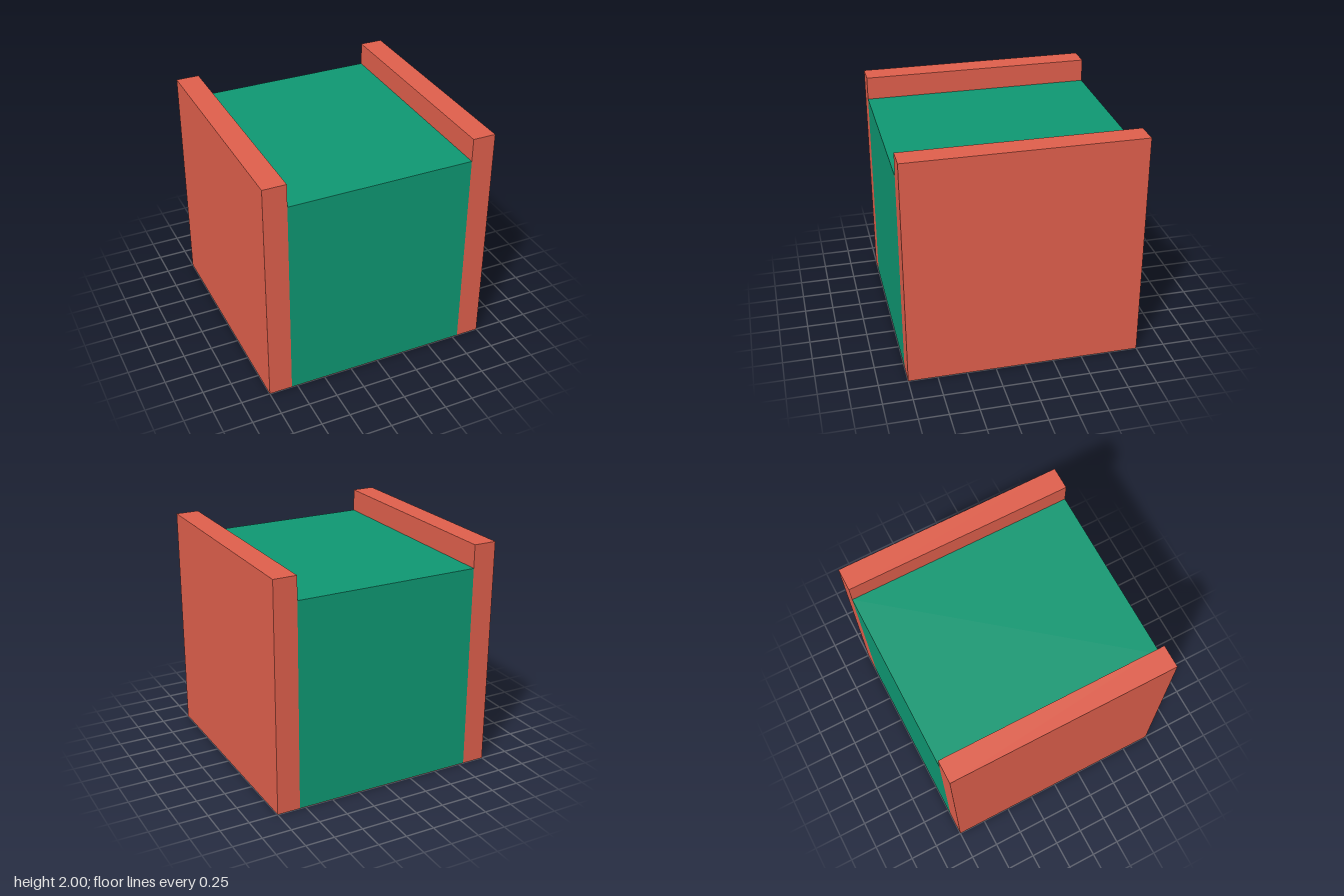
import * as THREE from 'three';

export function createModel() {
  const group = new THREE.Group();
  const red = new THREE.MeshStandardMaterial({ color: 0xdd5e4b });
  const green = new THREE.MeshStandardMaterial({ color: 0x0e9671 });
  const floor = 0.004; // thin red sheet under the block
  const blockTop = 1.8;

  // Channel: two thick side walls joined by the thin floor, as one U profile
  const profile = new THREE.Shape([
    [-1, 0], [1, 0], [1, 2], [0.8, 2], [0.8, floor],
    [-0.8, floor], [-0.8, 2], [-1, 2],
  ].map(([x, y]) => new THREE.Vector2(x, y)));
  const channel = new THREE.Mesh(
    new THREE.ExtrudeGeometry(profile, { depth: 2, bevelEnabled: false }).translate(0, 0, -1),
    red,
  );
  channel.name = 'sideWallsAndFloor';
  group.add(channel);

  // Block filling the channel, stopping short of the wall tops
  const block = new THREE.Mesh(new THREE.BoxGeometry(1.6, blockTop - floor, 2), green);
  block.position.y = (blockTop + floor) / 2;
  block.name = 'centreBlock';
  group.add(block);

  return group;
}
